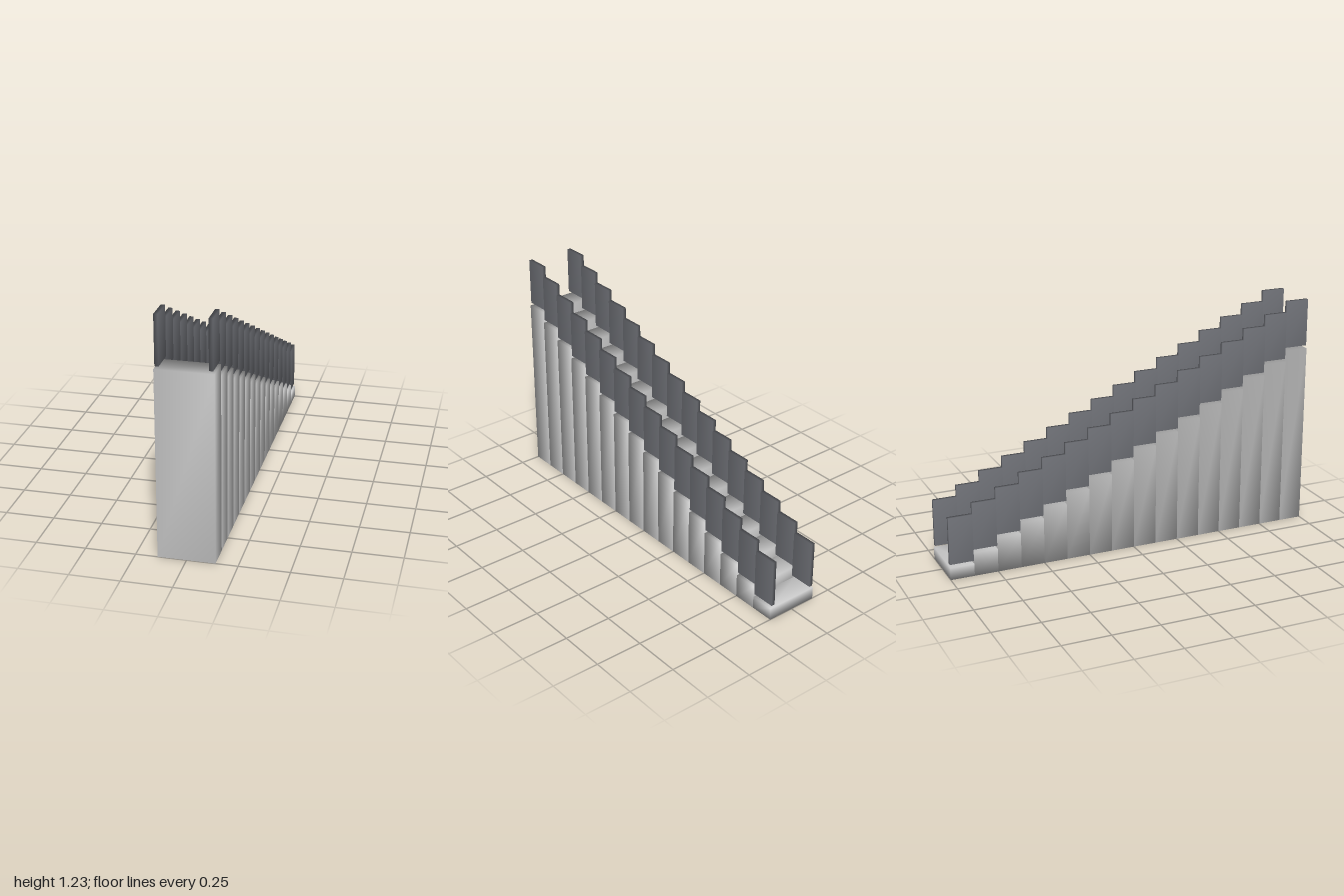
import * as THREE from 'three';
import { mergeVertices } from 'three/addons/utils/BufferGeometryUtils.js';

const STEPS = 16;
const DEPTH = 2 / STEPS;
const RISE = 0.06;
const WIDTH = 0.283;

// Box whose corners share one blended normal, for soft shading
function softBox(w, h, d) {
  const box = new THREE.BoxGeometry(w, h, d);
  box.deleteAttribute('normal');
  box.deleteAttribute('uv');
  const soft = mergeVertices(box);
  soft.computeVertexNormals();
  return soft;
}

export function createModel() {
  const stairs = new THREE.Group();
  stairs.name = 'staircase';
  const stepMaterial = new THREE.MeshStandardMaterial({ color: 0xcccccc });
  const railMaterial = new THREE.MeshStandardMaterial({ color: 0x72747a });
  const panel = softBox(0.02, 0.25, DEPTH);

  for (let i = 0; i < STEPS; i++) {
    const z = -1 + DEPTH * (i + 0.5);
    const height = 0.065 + RISE * i;

    // Solid step reaching down to the floor
    const step = new THREE.Mesh(softBox(WIDTH, height, DEPTH), stepMaterial);
    step.name = 'step';
    step.position.set(0, height / 2, z);
    stairs.add(step);

    // Side panels hovering just above the step
    for (const side of [-1, 1]) {
      const rail = new THREE.Mesh(panel, railMaterial);
      rail.name = side > 0 ? 'leftRailPanel' : 'rightRailPanel';
      rail.position.set(side * 0.126, 0.205 + RISE * i, z);
      stairs.add(rail);
    }
  }
  return stairs;
}
